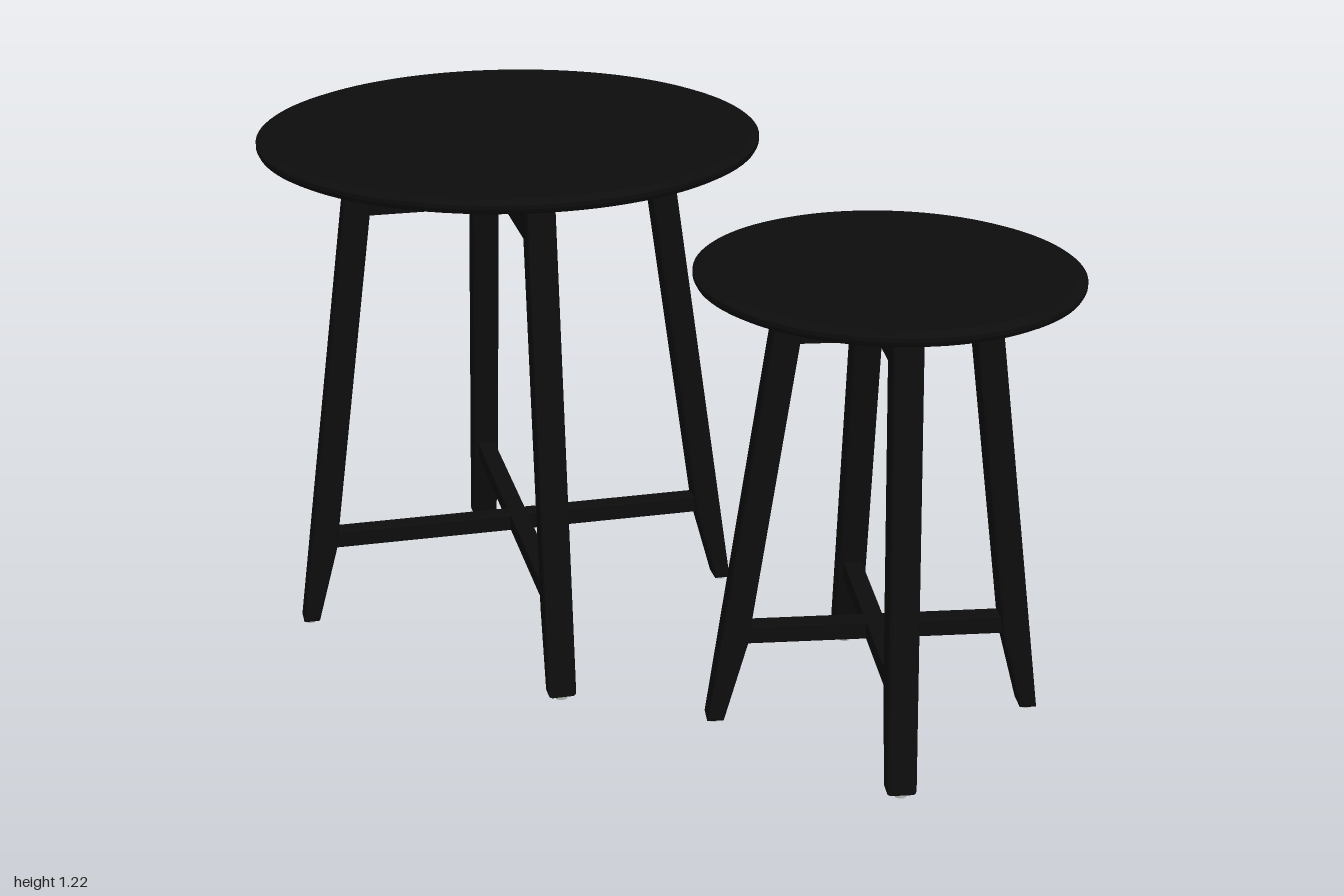
import * as THREE from 'three';

const wood = new THREE.MeshStandardMaterial({ color: 0x0d0d0d });
wood.name = 'blackWood';
const metal = new THREE.MeshStandardMaterial({ color: 0xb4b4b4 });
metal.name = 'screwMetal';

const SLOPE = 0.14;   // inward lean of a leg per unit of height
const LEG_T = 0.063;  // leg depth along the radius
const LEG_W = 0.066;  // leg width across the radius

function add(parent, name, geometry, material, x = 0, y = 0, z = 0) {
  const mesh = new THREE.Mesh(geometry, material);
  mesh.name = name;
  mesh.position.set(x, y, z);
  parent.add(mesh);
  return mesh;
}

// Extrudes an outline in the radius/height plane, centred across its thickness
function slab(points, width, bevel) {
  const shape = new THREE.Shape(points.map(([x, y]) => new THREE.Vector2(x, y)));
  const geo = new THREE.ExtrudeGeometry(shape, {
    depth: width - 2 * bevel, bevelEnabled: bevel > 0, bevelThickness: bevel,
    bevelSize: bevel, bevelOffset: -bevel, bevelSegments: 2,
  });
  geo.translate(0, 0, bevel - width / 2);
  return geo;
}

function createTable({ name, radius, top, footRadius, angle, apronBottom, apronScrew, stretcherScrew }) {
  const table = new THREE.Group();
  table.name = name;
  const under = top - 0.032;
  const outer = (y) => footRadius - SLOPE * y;
  const inner = (y) => outer(y) - LEG_T;

  // Round top with bevelled rim
  const profile = [[0, under], [radius - 0.015, under], [radius - 0.004, under + 0.006],
    [radius, under + 0.014], [radius, top - 0.009], [radius - 0.004, top - 0.006], [radius - 0.02, top], [0, top]];
  const topGeo = new THREE.LatheGeometry(profile.map(([x, y]) => new THREE.Vector2(x, y)), 96).toNonIndexed();
  topGeo.computeVertexNormals();
  add(table, 'tableTop', topGeo, wood);

  const frame = new THREE.Group();
  frame.name = 'frame';
  frame.rotation.y = -angle;
  table.add(frame);

  // Four splayed legs, tapered on the inside below the stretchers
  const legGeo = slab([[outer(0.01), 0.01], [outer(under), under], [inner(under), under],
    [inner(0.2), 0.2], [outer(0.01) - 0.038, 0.01]], LEG_W, 0.008);
  const screwGeo = new THREE.CylinderGeometry(0.011, 0.011, 0.006, 16);
  const glideGeo = new THREE.CylinderGeometry(0.014, 0.014, 0.012, 16);
  for (let i = 0; i < 4; i++) {
    const leg = new THREE.Group();
    leg.name = 'leg' + (i + 1);
    leg.rotation.y = i * Math.PI / 2;
    frame.add(leg);
    add(leg, 'legPost', legGeo, wood);
    add(leg, 'footGlide', glideGeo, metal, outer(0) - 0.02, 0.006, 0);
    const y = under - 0.04;
    add(leg, 'legScrew', screwGeo, metal, outer(y) + 0.001, y, 0).rotation.z = -Math.PI / 2 + Math.atan(SLOPE);
    add(leg, 'apronScrew', screwGeo, metal, apronScrew, apronBottom, 0);
    add(leg, 'stretcherScrew', screwGeo, metal, stretcherScrew, 0.2, 0);
  }

  // Crossed apron boards and crossed stretchers between opposite legs
  const bar = (low, high) => {
    const a = inner(low) + 0.01, b = inner(high) + 0.01;
    return [[-a, low], [a, low], [b, high], [-b, high]];
  };
  for (let i = 0; i < 2; i++) {
    const cross = new THREE.Group();
    cross.name = 'crossFrame' + (i + 1);
    cross.rotation.y = i * Math.PI / 2;
    frame.add(cross);
    add(cross, 'apronBoard', slab(bar(apronBottom, under), 0.042, 0), wood);
    add(cross, 'stretcher', slab(bar(0.2, 0.242), 0.044, 0.003), wood);
  }
  return table;
}

export function createModel() {
  const model = new THREE.Group();
  model.name = 'nestOfTables';

  const large = createTable({
    name: 'largeTable', radius: 0.58, top: 1.216, footRadius: 0.542,
    angle: THREE.MathUtils.degToRad(35.5), apronBottom: 1.035, apronScrew: 0.19, stretcherScrew: 0.37,
  });
  large.position.set(-0.42, 0, 0);

  const small = createTable({
    name: 'smallTable', radius: 0.415, top: 1.073, footRadius: 0.38,
    angle: THREE.MathUtils.degToRad(44), apronBottom: 0.912, apronScrew: 0.085, stretcherScrew: 0.215,
  });
  small.position.set(0.585, 0, -0.11);

  model.add(large, small);
  return model;
}
